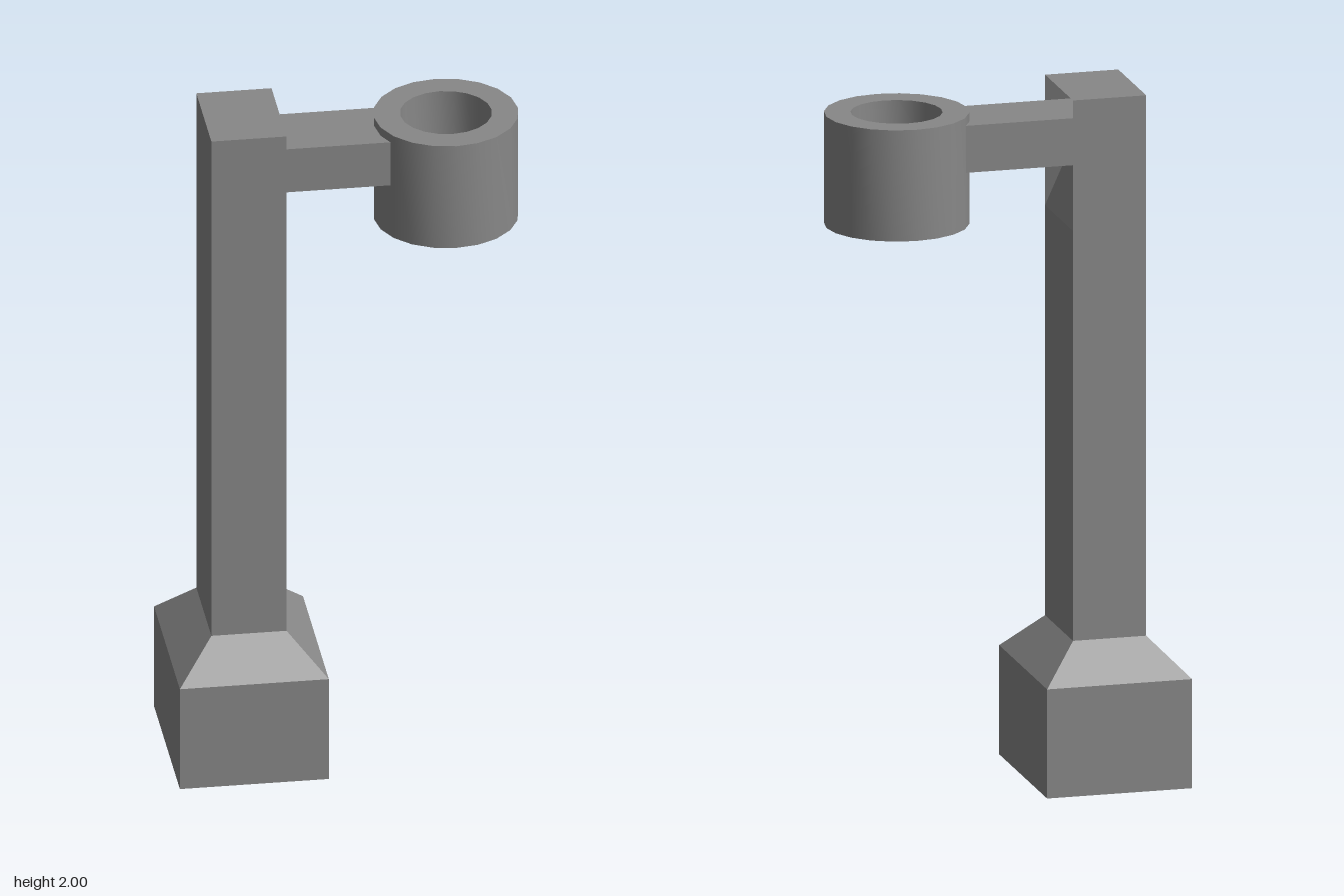
import * as THREE from 'three';
import { toCreasedNormals } from 'three/addons/utils/BufferGeometryUtils.js';

const material = new THREE.MeshStandardMaterial({ color: 0x888888 });

function addPart(group, name, geometry, x, y) {
  const mesh = new THREE.Mesh(geometry, material);
  mesh.name = name;
  mesh.position.set(x, y, 0);
  group.add(mesh);
}

// Box whose top face is scaled to a smaller rectangle
function taperedBox(width, height, depth, topWidth, topDepth) {
  const geometry = new THREE.BoxGeometry(width, height, depth);
  const p = geometry.attributes.position;
  for (let i = 0; i < p.count; i++) {
    if (p.getY(i) > 0) {
      p.setX(i, Math.sign(p.getX(i)) * topWidth / 2);
      p.setZ(i, Math.sign(p.getZ(i)) * topDepth / 2);
    }
  }
  geometry.computeVertexNormals();
  return geometry;
}

// Box without its +x face
function boxOpenToSide(width, height, depth) {
  const geometry = new THREE.BoxGeometry(width, height, depth);
  geometry.setIndex([...geometry.index.array].slice(6));
  geometry.clearGroups();
  return geometry;
}

// Four sloping walls joining two rectangles that face +x
function slopedFrame(outer, inner) {
  const corners = ({ x, z, bottom, top }) => [
    [x, bottom, z], [x, bottom, -z], [x, top, -z], [x, top, z],
  ];
  const o = corners(outer), n = corners(inner), points = [];
  for (let i = 0; i < 4; i++) {
    const j = (i + 1) % 4;
    points.push(...o[i], ...o[j], ...n[j], ...o[i], ...n[j], ...n[i]);
  }
  const geometry = new THREE.BufferGeometry();
  geometry.setAttribute('position', new THREE.Float32BufferAttribute(points, 3));
  geometry.computeVertexNormals();
  return geometry;
}

export function createModel() {
  const group = new THREE.Group();
  group.name = 'postWithRing';

  const postX = -0.288, postW = 0.214, postD = 0.294;
  const baseW = 0.424, baseD = 0.505, baseH = 0.318, collarH = 0.107;
  const postBottom = baseH + collarH, headBottom = 1.62, top = 2;
  const postH = headBottom - postBottom, headH = top - headBottom;

  // Foot, sloping collar and upright
  addPart(group, 'base', new THREE.BoxGeometry(baseW, baseH, baseD), postX, baseH / 2);
  addPart(group, 'collar', taperedBox(baseW, collarH, baseD, postW, postD), postX, baseH + collarH / 2);
  addPart(group, 'post', new THREE.BoxGeometry(postW, postH, postD), postX, postBottom + postH / 2);

  // Head of the post, with a sloping recess around the root of the arm
  const faceX = postX + postW / 2, rootX = faceX - 0.065;
  const armBottom = 1.8, armTop = 1.937, armD = 0.212;
  addPart(group, 'postHead', boxOpenToSide(postW, headH, postD), postX, headBottom + headH / 2);
  addPart(group, 'armRecess', slopedFrame(
    { x: faceX, z: postD / 2, bottom: headBottom, top },
    { x: rootX, z: armD / 2, bottom: armBottom, top: armTop },
  ), 0, 0);

  // Arm ends hidden inside the wall of the ring
  const armEnd = 0.145;
  addPart(group, 'arm', new THREE.BoxGeometry(armEnd - rootX, armTop - armBottom, armD),
    (rootX + armEnd) / 2, (armBottom + armTop) / 2);

  // Open-ended ring with a thick wall
  const outer = 0.205, inner = 0.13, half = 0.162;
  const profile = [
    [inner, -half], [outer, -half], [outer, half], [inner, half], [inner, -half],
  ].map(([r, y]) => new THREE.Vector2(r, y));
  addPart(group, 'ring', toCreasedNormals(new THREE.LatheGeometry(profile, 20), 0.6), 0.294, 1.801);

  return group;
}
